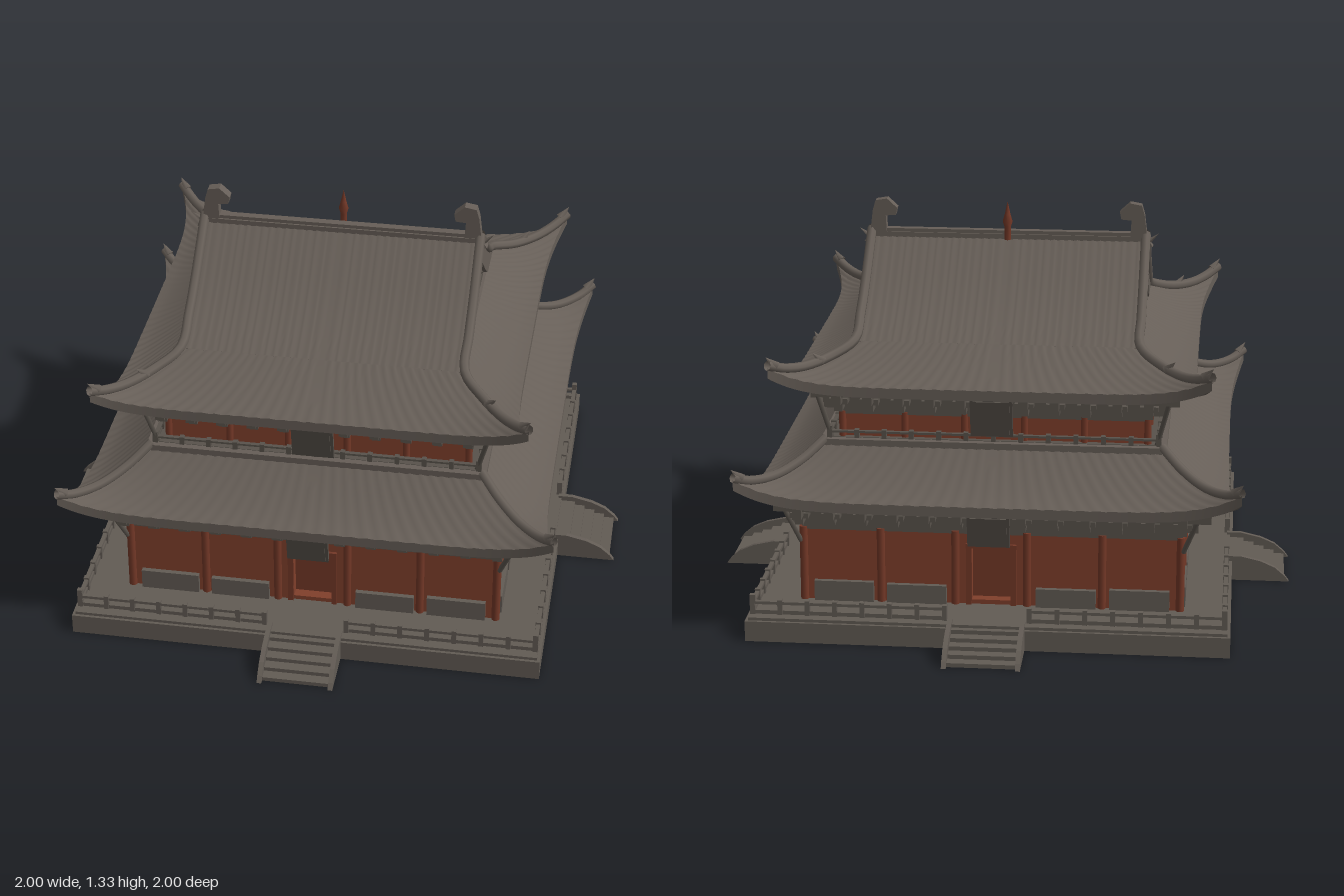
import * as THREE from 'three';
import { mergeGeometries, toCreasedNormals } from 'three/addons/utils/BufferGeometryUtils.js';

const mat = (name, color) => Object.assign(new THREE.MeshStandardMaterial({ color, side: THREE.DoubleSide }), { name });
const V = (x, y, z) => new THREE.Vector3(x, y, z);
const lerp = THREE.MathUtils.lerp;

// Box given by its centre x, z and its bottom and top y
function box(x, y0, y1, z, w, d) {
  return new THREE.BoxGeometry(w, y1 - y0, d).translate(x, (y0 + y1) / 2, z);
}
function merged(list) {
  return mergeGeometries(list.map(g => (g.index ? g.toNonIndexed() : g)));
}
// Repeat a list of front-side geometries on all four sides
function four(list) {
  const one = merged(list);
  return merged([0, 1, 2, 3].map(k => one.clone().rotateY(k * Math.PI / 2)));
}
// Add the mirror-image placement of a box maker for +x and -x
const both = f => [f(1), f(-1)];

// Surface from a grid of points f(i, j)
function grid(nu, nv, f) {
  const pos = [], idx = [];
  for (let i = 0; i <= nu; i++) for (let j = 0; j <= nv; j++) {
    pos.push(...f(i, j).toArray());
    if (i < nu && j < nv) {
      const a = i * (nv + 1) + j, b = a + nv + 1;
      idx.push(a, a + 1, b, b, a + 1, b + 1);
    }
  }
  const g = new THREE.BufferGeometry();
  g.setAttribute('position', new THREE.Float32BufferAttribute(pos, 3));
  g.setIndex(idx);
  return toCreasedNormals(g, 0.7);
}
const rib = i => 0.0014 * Math.cos(i * Math.PI / 2);

// Point on a hipped roof skirt: side k, u along the eave, t from top to eave
function skirtPoint(r, k, u, t, y) {
  const odd = k % 2;
  const inA = odd ? r.iz : r.ix, inO = odd ? r.ix : r.iz;
  const c = Math.abs(u);
  const a = u * (lerp(inA, r.out, t) + r.flare * t * t);
  const o = lerp(inO, r.out, t) + r.flare * t * t * c ** 6;
  const h = (y ?? lerp(r.top, r.eave, 1 - (1 - t) ** 1.4)) + r.lift * t ** 3 * c ** 7;
  return V(a, h, o).applyAxisAngle(V(0, 1, 0), k * Math.PI / 2);
}
function skirt(r) {
  const rows = [];
  for (let j = 0; j <= 8; j++) rows.push([j / 8]);
  rows.push([1, r.eave - r.thick], [0.93, r.eave - r.thick - 0.004], [r.wallT, r.soffit]);
  const n = 128, sides = [];
  for (let k = 0; k < 4; k++) {
    sides.push(grid(n, rows.length - 1, (i, j) => {
      const p = skirtPoint(r, k, i / n * 2 - 1, ...rows[j]);
      if (j < 9) p.y += rib(i);
      return p;
    }));
  }
  return merged(sides);
}
const tube = (pts, rad) => new THREE.TubeGeometry(new THREE.CatmullRomCurve3(pts), 30, rad, 7);

// Railing for one side, with an optional gap in the middle
function railing(half, gap, y, h, posts) {
  const list = [];
  for (const s of [-1, 1]) {
    const len = half - gap, mid = s * (half + gap) / 2;
    list.push(box(mid, y + h * 0.78, y + h, half, len, 0.014));
    list.push(box(mid, y, y + h * 0.3, half, len, 0.008));
    for (let i = 0; i <= posts; i++) {
      const end = i === posts ? 1.5 : 1.15;
      list.push(box(s * (gap + len * i / posts), y, y + h * end, half, 0.016, 0.018));
    }
  }
  return list;
}

// Bracket sets under the eaves on one side
function brackets(half, y0, y1, count, reach) {
  const list = [], h = y1 - y0;
  for (let i = 0; i <= count; i++) {
    const x = lerp(-half, half, i / count);
    list.push(box(x, y0 + h * 0.25, y0 + h * 0.5, half + reach * 0.3, 0.028, reach * 0.6));
    list.push(box(x, y0 + h * 0.5, y0 + h * 0.7, half + reach * 0.35, 0.062, reach * 0.5));
    list.push(box(x, y0 + h * 0.6, y1 + 0.01, half + reach * 0.55, 0.03, reach * 1.1));
  }
  list.push(box(0, y1 - h * 0.15, y1 + 0.01, half + reach * 0.8, 2 * (half + reach * 0.8), 0.018));
  return list;
}

export function createModel() {
  const model = new THREE.Group();
  model.name = 'twoStoreyHall';
  const roofGrey = mat('roofTileGrey', 0x665e57);
  const stone = mat('stoneGrey', 0x625b54);
  const timber = mat('weatheredTimber', 0x58524b);
  const red = mat('redPlaster', 0x803f2b);
  const darkRed = mat('redWood', 0x733827);
  const add = (name, geo, m) => {
    const mesh = new THREE.Mesh(geo, m);
    mesh.name = name;
    model.add(mesh);
  };

  // Platform with a flight of steps on each side
  add('platform', merged([box(0, 0, 0.07, 0, 1.6, 1.66), box(0, 0.07, 0.08, 0, 1.58, 1.64)]), stone);
  const steps = [];
  for (let i = 0; i < 5; i++) {
    steps.push(box(0, 0, 0.07 - i * 0.014, 0.79 + (0.05 + i * 0.036) / 2, 0.23, 0.05 + i * 0.036));
  }
  const cheek = new THREE.Shape([[0.78, 0], [1, 0], [0.985, 0.02], [0.95, 0.05], [0.9, 0.072], [0.83, 0.088], [0.78, 0.088]]
    .map(p => new THREE.Vector2(...p)));
  for (const x of [-0.128, 0.112]) {
    steps.push(new THREE.ExtrudeGeometry(cheek, { depth: 0.016, bevelEnabled: false }).rotateY(-Math.PI / 2).translate(x + 0.016, 0, 0));
  }
  add('steps', four(steps), stone);
  add('platformRailing', four(railing(0.78, 0.14, 0.08, 0.045, 7)), stone);

  // Lower storey walls with door openings
  const wall = new THREE.Shape([[-0.63, 0.08], [0.63, 0.08], [0.63, 0.34], [-0.63, 0.34]].map(p => new THREE.Vector2(...p)));
  wall.holes.push(new THREE.Path([[-0.065, 0.095], [-0.065, 0.28], [0.065, 0.28], [0.065, 0.095]].map(p => new THREE.Vector2(...p))));
  add('lowerWalls', four([new THREE.ExtrudeGeometry(wall, { depth: 0.04, bevelEnabled: false }).translate(0, 0, 0.59)]), red);
  add('doors', four([box(0, 0.08, 0.3, 0.585, 0.2, 0.02)]), darkRed);
  add('doorFrames', four([
    box(0, 0.28, 0.295, 0.632, 0.17, 0.016),
    ...both(s => box(s * 0.075, 0.08, 0.28, 0.632, 0.018, 0.016)),
  ]), darkRed);
  const columns = [];
  for (const x of [-0.63, -0.37, -0.12, 0.12, 0.37]) {
    columns.push(new THREE.CylinderGeometry(0.014, 0.014, 0.27, 10).translate(x, 0.205, 0.63));
  }
  add('lowerColumns', four(columns), darkRed);
  add('wallSkirting', four([
    ...both(s => box(s * 0.25, 0.08, 0.145, 0.636, 0.2, 0.022)),
    ...both(s => box(s * 0.495, 0.08, 0.15, 0.636, 0.2, 0.022)),
  ]), stone);
  add('lowerBeam', box(0, 0.33, 0.46, 0, 1.27, 1.27), timber);
  add('lowerBrackets', four(brackets(0.635, 0.34, 0.43, 12, 0.085)), timber);

  // Upper storey with its balcony
  add('balconyFloor', box(0, 0.57, 0.622, 0, 1.12, 1.12), timber);
  add('upperWalls', box(0, 0.6, 0.71, 0, 1.02, 1.02), red);
  add('upperColumns', four([-0.51, -0.3, -0.1, 0.1, 0.3].map(x =>
    new THREE.CylinderGeometry(0.012, 0.012, 0.1, 8).translate(x, 0.66, 0.51))), darkRed);
  add('balconyRailing', four(railing(0.548, 0, 0.62, 0.032, 6)), timber);
  add('upperBeam', box(0, 0.7, 0.83, 0, 1.03, 1.03), timber);
  add('upperBrackets', four(brackets(0.515, 0.7, 0.795, 10, 0.09)), timber);

  // Hanging boards under the eaves and struts under the corners
  const board = (w, h, y, z) => merged([
    new THREE.BoxGeometry(w, h, 0.015),
    new THREE.BoxGeometry(w - 0.02, h - 0.02, 0.024),
  ]).rotateX(0.2).translate(0, y, z);
  add('nameBoards', four([board(0.14, 0.12, 0.378, 0.725), board(0.14, 0.14, 0.733, 0.612)]), timber);
  const strut = (a, y0, b, y1) => new THREE.TubeGeometry(new THREE.LineCurve3(V(a, y0, a), V(b, y1, b)), 1, 0.009, 6);
  add('cornerStruts', four([strut(0.638, 0.29, 0.7, 0.46), strut(0.54, 0.62, 0.59, 0.82)]), timber);

  // Curved roof skirts
  const lower = { ix: 0.56, iz: 0.56, out: 0.78, top: 0.62, eave: 0.475, flare: 0.045, lift: 0.085, thick: 0.035, wallT: 0.3, soffit: 0.45 };
  const upper = { ix: 0.475, iz: 0.42, out: 0.665, top: 0.925, eave: 0.837, flare: 0.055, lift: 0.075, thick: 0.035, wallT: 0.2, soffit: 0.82 };
  add('lowerRoof', skirt(lower), roofGrey);
  add('upperRoofSkirt', skirt(upper), roofGrey);
  add('gableLedge', box(0, 0.87, 0.924, 0, 0.95, 0.84), roofGrey);

  // Main gabled roof
  const profile = new THREE.SplineCurve([[0, 1.205], [0.1, 1.122], [0.2, 1.045], [0.3, 0.983], [0.42, 0.925]]
    .map(p => new THREE.Vector2(...p))).getPoints(16);
  const slopes = [-1, 1].map(s => grid(144, 16, (i, j) =>
    V((i / 72 - 1) * 0.48 * s, profile[j].y + rib(i), profile[j].x * s)));
  add('mainRoof', merged(slopes), roofGrey);

  // Gable ends: barge boards, red panels and king posts
  const outline = profile.map(p => [p.x, p.y]);
  const under = profile.map(p => [p.x, Math.max(p.y - 0.09, 0.915)]);
  const half = [...outline, ...under.reverse()];
  for (const s of [-1, 1]) {
    const side = s > 0 ? 'left' : 'right';
    const boards = [-1, 1].map(m => {
      const shape = new THREE.Shape(half.map(p => new THREE.Vector2(p[0] * m, p[1])));
      return new THREE.ExtrudeGeometry(shape, { depth: 0.03, bevelEnabled: false }).rotateY(Math.PI / 2).translate(s * 0.465 - 0.015, 0, 0);
    });
    add(side + 'BargeBoards', merged(boards), roofGrey);
    const tri = new THREE.Shape([[-0.36, 0.915], [0.36, 0.915], [0, 1.17]].map(p => new THREE.Vector2(...p)));
    add(side + 'GablePanel', new THREE.ExtrudeGeometry(tri, { depth: 0.02, bevelEnabled: false })
      .rotateY(Math.PI / 2).translate(s * 0.44 - 0.01, 0, 0), red);
    add(side + 'GableTrim', merged([box(s * 0.455, 0.92, 0.945, 0, 0.02, 0.5), box(s * 0.455, 1.0, 1.12, 0, 0.02, 0.022),
      new THREE.ConeGeometry(0.03, 0.06, 4).rotateX(Math.PI).translate(s * 0.458, 1.04, 0)]), timber);
  }

  // Ridges along the gable edges and hips, with small hip figures
  const hips = [], figures = [];
  for (const sx of [-1, 1]) for (const sz of [-1, 1]) {
    const hip = (r, t) => {
      const p = skirtPoint(r, 0, 1, t);
      return V(p.x * sx, p.y + 0.008, p.z * sz);
    };
    const edge = [0, 4, 8, 12].map(j => V(sx * 0.475, profile[j].y + 0.008, sz * profile[j].x));
    hips.push(tube([...edge, ...[0.02, 0.35, 0.65, 0.85, 1].map(t => hip(upper, t))], 0.017));
    hips.push(tube([0, 0.3, 0.6, 0.85, 1].map(t => hip(lower, t)), 0.016));
    for (const [r, t] of [[upper, 0.5], [upper, 0.97], [lower, 0.97]]) {
      const p = hip(r, t);
      figures.push(new THREE.ConeGeometry(0.018, 0.05, 5).rotateZ(-sx * 0.6).rotateX(sz * 0.6).translate(p.x, p.y + 0.018, p.z));
    }
  }
  hips.push(four([box(0, 0.6, 0.628, 0.56, 1.12, 0.03)]));
  add('hipRidges', merged(hips), roofGrey);
  add('hipFigures', merged(figures), roofGrey);
  add('mainRidge', merged([box(0, 1.17, 1.205, 0, 0.95, 0.04), box(0, 1.2, 1.217, 0, 0.9, 0.028)]), roofGrey);

  // Ridge end ornaments and central finial
  const curl = new THREE.Shape([[0.5, 1.17], [0.48, 1.2], [0.47, 1.28], [0.46, 1.315], [0.42, 1.322], [0.385, 1.29], [0.39, 1.265], [0.425, 1.262], [0.42, 1.17]]
    .map(p => new THREE.Vector2(...p)));
  const ornament = new THREE.ExtrudeGeometry(curl, { depth: 0.036, bevelEnabled: false }).translate(0, 0, -0.018);
  const horn = new THREE.ConeGeometry(0.014, 0.06, 5).rotateZ(-0.9).translate(0.495, 1.195, 0);
  const end = merged([ornament, horn]);
  add('ridgeOrnaments', merged([end, end.clone().rotateY(Math.PI)]), roofGrey);
  const finial = [[0.011, 1.19], [0.011, 1.235], [0.017, 1.255], [0.01, 1.28], [0, 1.325]].map(p => new THREE.Vector2(...p));
  add('finial', new THREE.LatheGeometry(finial, 8).translate(0, 0, -0.035), darkRed);

  return model;
}
